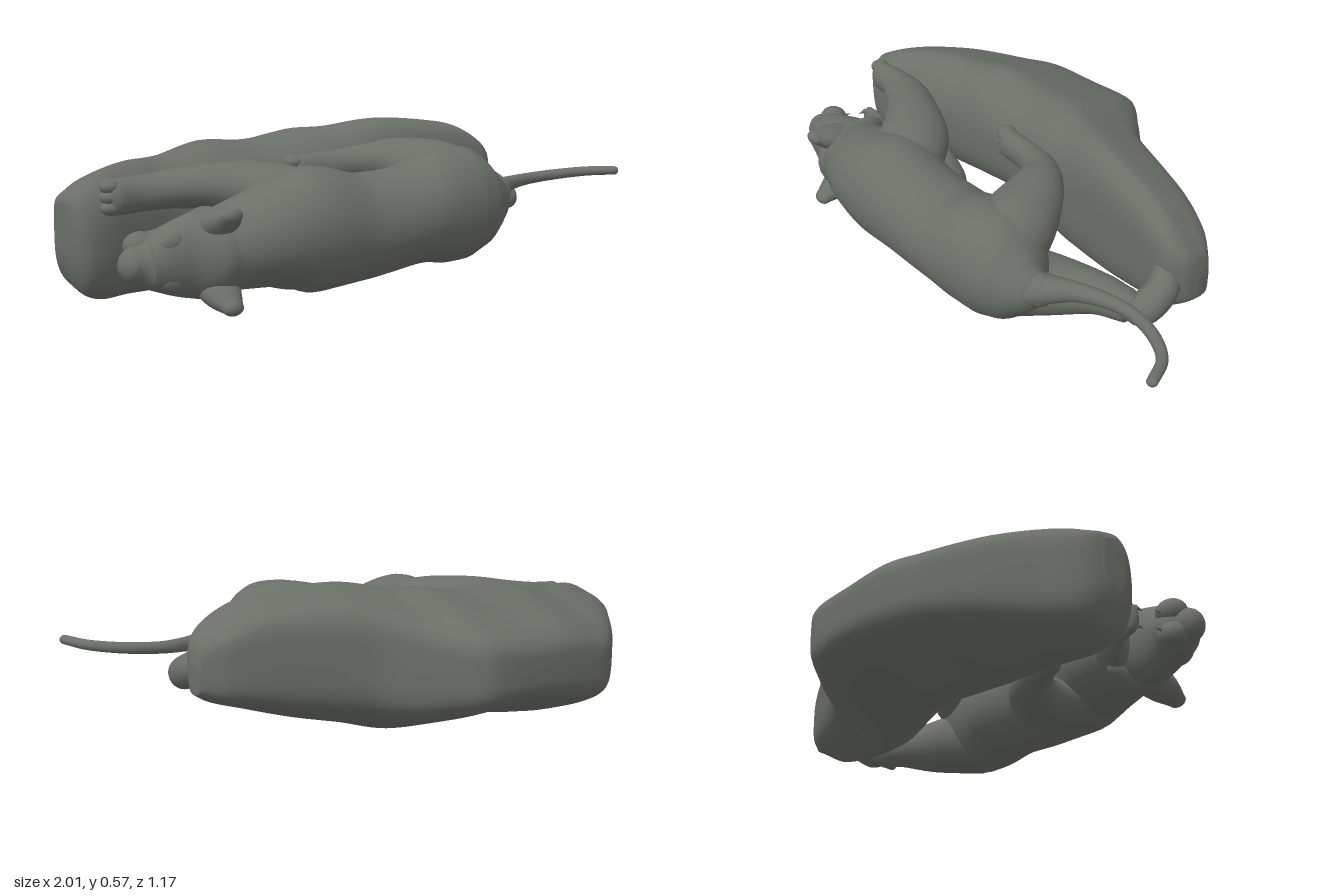
import * as THREE from 'three';

const stone = new THREE.MeshStandardMaterial({ color: 0x6a6f68 });
stone.name = 'grey green stone';

// Closed smooth skin over a row of rings, fanned shut at both ends
function skin(rings) {
  const n = rings[0].length, pos = [], idx = [];
  rings.forEach(r => r.forEach(p => pos.push(p.x, p.y, p.z)));
  for (let i = 0; i < rings.length - 1; i++) {
    for (let j = 0; j < n; j++) {
      const a = i * n + j, b = i * n + (j + 1) % n;
      idx.push(a, b, a + n, b, b + n, a + n);
    }
  }
  [0, rings.length - 1].forEach((i, end) => {
    const c = new THREE.Vector3();
    rings[i].forEach(p => c.addScaledVector(p, 1 / n));
    const m = pos.length / 3;
    pos.push(c.x, c.y, c.z);
    for (let j = 0; j < n; j++) {
      const a = i * n + j, b = i * n + (j + 1) % n;
      if (end) idx.push(m, a, b); else idx.push(m, b, a);
    }
  });
  const g = new THREE.BufferGeometry();
  g.setAttribute('position', new THREE.Float32BufferAttribute(pos, 3));
  g.setIndex(idx);
  g.computeVertexNormals();
  return g;
}

// Rounded limb through rows of [x, y, z, sideways radius, depth radius]
function limb(rows, steps = 36, sides = 28) {
  const path = new THREE.CatmullRomCurve3(rows.map(r => new THREE.Vector3(r[0], r[1], r[2])));
  const size = new THREE.CatmullRomCurve3(rows.map(r => new THREE.Vector3(r[3], r[4], 0)));
  const rings = [];
  const ring = (t, scale, shift) => {
    const c = path.getPoint(t), s = size.getPoint(t), d = path.getTangent(t);
    const side = new THREE.Vector3(0, 1, 0).addScaledVector(d, -d.y).normalize();
    const depth = d.clone().cross(side);
    c.addScaledVector(d, shift * Math.min(s.x, s.y));
    rings.push(Array.from({ length: sides }, (_, j) => {
      const a = j / sides * Math.PI * 2;
      return c.clone().addScaledVector(side, Math.cos(a) * s.x * scale)
        .addScaledVector(depth, Math.sin(a) * s.y * scale);
    }));
  };
  for (let k = 1; k < 7; k++) ring(0, Math.sin(k * Math.PI / 14), -Math.cos(k * Math.PI / 14));
  for (let i = 0; i <= steps; i++) ring(i / steps, 1, 0);
  for (let k = 6; k > 0; k--) ring(1, Math.sin(k * Math.PI / 14), Math.cos(k * Math.PI / 14));
  return skin(rings);
}

// Boulder: rounded cross-sections that narrow toward a flat base at -z
function boulder() {
  const rows = [ // x, low y, high y, base z, upper z
    [-1, 0.2, 0.37, -0.17, -0.09], [-0.985, 0.13, 0.4, -0.22, -0.05], [-0.95, 0.06, 0.425, -0.27, -0.025],
    [-0.88, 0.025, 0.46, -0.335, -0.02], [-0.73, 0.01, 0.485, -0.475, -0.05], [-0.58, 0.0, 0.49, -0.575, -0.07],
    [-0.4, 0.02, 0.53, -0.59, -0.06], [-0.2, 0.055, 0.525, -0.59, -0.04], [-0.02, 0.04, 0.555, -0.57, -0.01],
    [0.1, 0.035, 0.56, -0.46, 0.01], [0.25, 0.07, 0.58, -0.3, 0.04], [0.45, 0.12, 0.57, -0.2, 0.085],
    [0.6, 0.165, 0.54, -0.13, 0.115], [0.7, 0.2, 0.48, -0.08, 0.125], [0.755, 0.235, 0.42, -0.03, 0.09],
    [0.775, 0.25, 0.35, -0.01, 0.04]
  ];
  const xy = new THREE.CatmullRomCurve3(rows.map(r => new THREE.Vector3(r[0], r[1], r[2])));
  const zs = new THREE.CatmullRomCurve3(rows.map(r => new THREE.Vector3(r[3], r[4], 0)));
  const rings = [];
  for (let i = 0; i <= 80; i++) {
    const p = xy.getPoint(i / 80), q = zs.getPoint(i / 80);
    const midY = (p.y + p.z) / 2, halfY = (p.z - p.y) / 2;
    const midZ = (q.x + q.y) / 2, halfZ = (q.y - q.x) / 2;
    // the walking ridge is rounder under the fore paws
    const ridge = 0.8 - 0.24 * THREE.MathUtils.smoothstep(p.x, -0.2, 0.4);
    rings.push(Array.from({ length: 64 }, (_, j) => {
      const a = j / 64 * Math.PI * 2;
      const round = v => Math.sign(v) * Math.pow(Math.abs(v), Math.sin(a) > 0 ? ridge : 0.45);
      const v = round(Math.sin(a));
      const taper = 1 - 0.5 * THREE.MathUtils.clamp((0.35 - v) / 1.35, 0, 1) * Math.min(1, halfZ / 0.25);
      const dent = 1 - 0.008 * (1 + Math.sin(p.x * 13 + a * 3) * Math.cos(a * 4 - p.x * 5));
      return new THREE.Vector3(p.x, midY + round(Math.cos(a)) * halfY * taper * dent, midZ + v * halfZ);
    }));
  }
  return skin(rings);
}

export function createModel() {
  const model = new THREE.Group();
  model.name = 'catOnRock';
  const add = (name, geometry) => {
    const m = new THREE.Mesh(geometry, stone);
    m.name = name;
    model.add(m);
    return m;
  };
  const ball = (name, x, y, z, sx, sy, sz) => {
    const m = add(name, new THREE.SphereGeometry(1, 20, 14));
    m.position.set(x, y, z);
    m.scale.set(sx, sy, sz);
  };

  add('rock', boulder());

  // Body: the head points to -x and the back to +z
  add('body', limb([
    [-0.66, 0.24, 0.29, 0.135, 0.15], [-0.5, 0.27, 0.335, 0.17, 0.178], [-0.38, 0.275, 0.35, 0.205, 0.185],
    [-0.2, 0.265, 0.365, 0.18, 0.177], [0, 0.285, 0.39, 0.17, 0.182], [0.14, 0.305, 0.405, 0.2, 0.177],
    [0.24, 0.31, 0.415, 0.2, 0.167], [0.32, 0.31, 0.425, 0.165, 0.142], [0.39, 0.315, 0.43, 0.1, 0.09],
    [0.43, 0.32, 0.425, 0.06, 0.05]
  ], 70, 40));

  // Legs
  const legs = {
    upperForeLeg: [[-0.37, 0.34, 0.33, 0.12, 0.14], [-0.43, 0.385, 0.21, 0.1, 0.135], [-0.55, 0.405, 0.105, 0.08, 0.1],
      [-0.68, 0.4, 0.03, 0.065, 0.08], [-0.79, 0.39, -0.005, 0.06, 0.055], [-0.86, 0.385, -0.01, 0.06, 0.045]],
    lowerForeLeg: [[-0.37, 0.2, 0.33, 0.12, 0.14], [-0.35, 0.145, 0.21, 0.095, 0.125], [-0.41, 0.135, 0.08, 0.075, 0.085],
      [-0.49, 0.14, 0.015, 0.06, 0.06], [-0.58, 0.15, -0.025, 0.06, 0.045]],
    upperHindLeg: [[0.23, 0.36, 0.4, 0.145, 0.14], [0.21, 0.405, 0.3, 0.125, 0.135], [0.165, 0.44, 0.17, 0.085, 0.1],
      [0.1, 0.435, 0.075, 0.062, 0.065], [-0.02, 0.42, 0.02, 0.057, 0.047], [-0.13, 0.41, -0.002, 0.06, 0.042]],
    lowerHindLeg: [[0.24, 0.235, 0.39, 0.135, 0.13], [0.37, 0.22, 0.29, 0.1, 0.11], [0.52, 0.24, 0.237, 0.068, 0.076],
      [0.64, 0.26, 0.232, 0.057, 0.058], [0.69, 0.27, 0.22, 0.057, 0.058], [0.7, 0.31, 0.13, 0.058, 0.055],
      [0.67, 0.335, 0.09, 0.06, 0.045]]
  };
  for (const [name, rows] of Object.entries(legs)) {
    add(name, limb(rows));
    const [x, y, z] = rows[rows.length - 1];
    for (const k of [-1, 0, 1]) ball(name + 'Toe', x - 0.025, y + k * 0.034, z - 0.008, 0.038, 0.026, 0.035);
  }

  // Head with open mouth
  add('head', limb([
    [-0.64, 0.24, 0.29, 0.135, 0.15], [-0.72, 0.23, 0.285, 0.138, 0.145], [-0.8, 0.225, 0.275, 0.128, 0.095],
    [-0.87, 0.22, 0.262, 0.105, 0.085], [-0.92, 0.215, 0.245, 0.08, 0.08], [-0.955, 0.215, 0.242, 0.058, 0.055]
  ]));
  add('lowerJaw', limb([
    [-0.68, 0.225, 0.21, 0.1, 0.08], [-0.735, 0.22, 0.13, 0.085, 0.05],
    [-0.8, 0.22, 0.085, 0.065, 0.03], [-0.87, 0.22, 0.07, 0.052, 0.025]
  ]));
  ball('nose', -0.97, 0.215, 0.265, 0.028, 0.038, 0.03);
  for (const s of [-1, 1]) {
    const y = 0.225;
    add('ear', limb([
      [-0.72, y + s * 0.085, 0.31, 0.06, 0.07], [-0.73, y + s * 0.115, 0.375, 0.045, 0.06],
      [-0.735, y + s * 0.14, 0.43, 0.025, 0.035]
    ], 16, 20));
    ball('ruff', -0.7, y + s * 0.085, 0.26, 0.04, 0.06, 0.12);
    ball('cheek', -0.92, y + s * 0.04, 0.21, 0.055, 0.045, 0.05);
    ball('brow', -0.855, y + s * 0.055, 0.305, 0.06, 0.04, 0.035);
    for (const [x, z, turn] of [[-0.91, 0.155, -1], [-0.88, 0.1, 1]]) {
      const fang = add('fang', new THREE.ConeGeometry(0.01, 0.035, 10));
      fang.position.set(x, y + s * 0.032, z);
      fang.rotation.x = turn * Math.PI / 2;
    }
  }

  // Tail, curling up at its tip
  add('tail', limb([
    [0.35, 0.31, 0.455, 0.085, 0.075], [0.44, 0.325, 0.415, 0.05, 0.055], [0.53, 0.335, 0.365, 0.034, 0.033],
    [0.62, 0.34, 0.335, 0.026, 0.026], [0.72, 0.345, 0.325, 0.022, 0.022], [0.84, 0.355, 0.36, 0.02, 0.021],
    [0.94, 0.367, 0.435, 0.018, 0.019], [0.98, 0.375, 0.53, 0.016, 0.018]
  ], 50, 16));

  return model;
}
